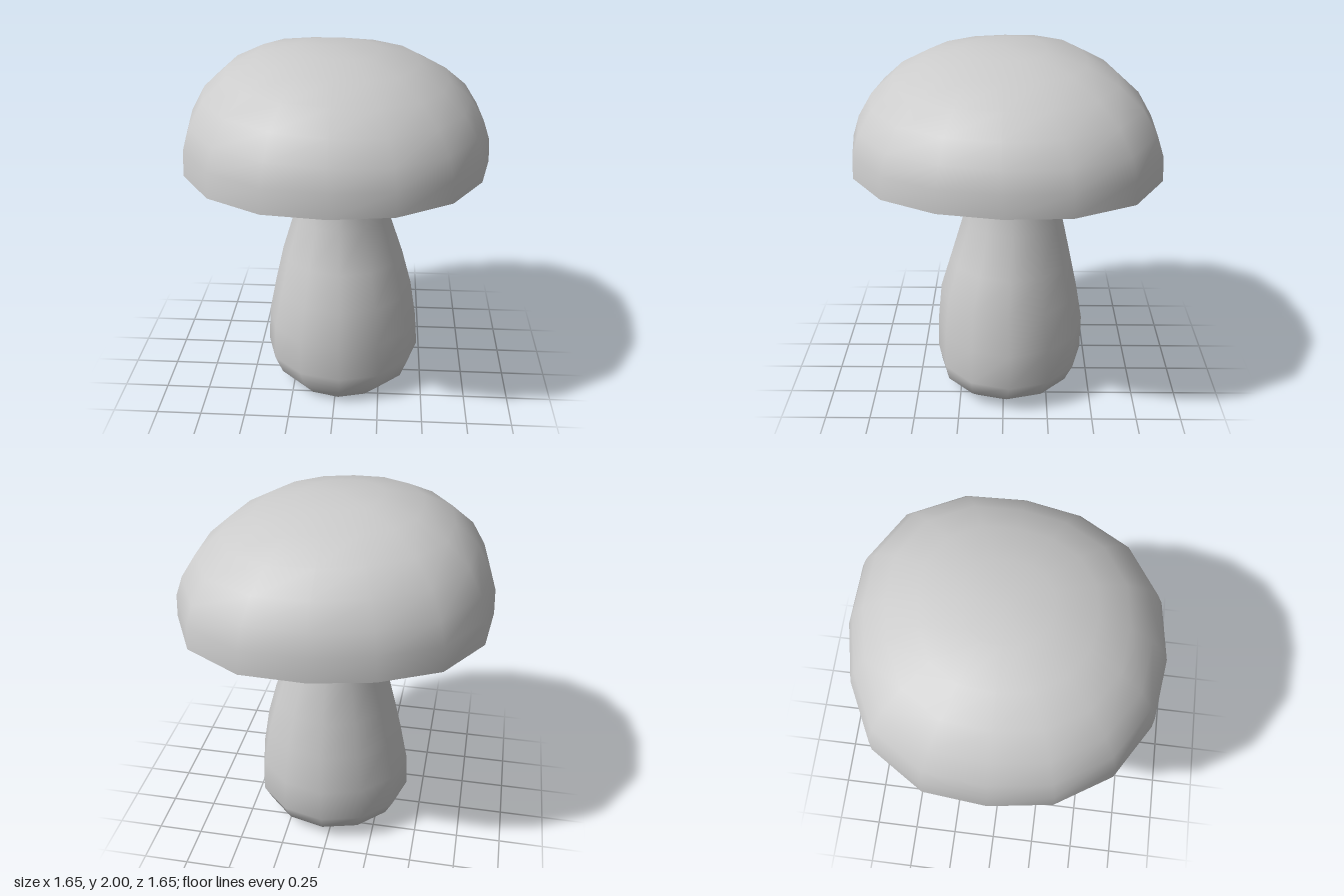
import * as THREE from 'three';

const material = new THREE.MeshStandardMaterial({ color: 0xcccccc, side: THREE.DoubleSide });

// Skins a stack of rings with smooth normals and closes it at an apex point; the bottom stays open.
function loft(name, rings, sides, pointAt, apex) {
  const positions = [];
  const index = [];
  rings.forEach((ring) => {
    for (let j = 0; j < sides; j++) positions.push(...pointAt(ring, j, (j / sides) * Math.PI * 2));
  });
  positions.push(...apex);
  const top = rings.length * sides;
  for (let i = 0; i < rings.length; i++) {
    for (let j = 0; j < sides; j++) {
      const k = (j + 1) % sides;
      const a = i * sides + j;
      const b = i * sides + k;
      if (i === rings.length - 1) index.push(a, top, b);
      else index.push(a, a + sides, b, b, a + sides, b + sides);
    }
  }
  const geometry = new THREE.BufferGeometry();
  geometry.setAttribute('position', new THREE.Float32BufferAttribute(positions, 3));
  geometry.setIndex(index);
  geometry.computeVertexNormals();
  const mesh = new THREE.Mesh(geometry, material);
  mesh.name = name;
  return mesh;
}

export function createModel() {
  const model = new THREE.Group();
  model.name = 'mushroom';

  // Cap: hollow dome with an uneven rim, its crown tilted slightly
  const rim = [0.82, 0.82, 0.84, 0.837, 0.82, 0.843, 0.856, 0.847,
    0.83, 0.864, 0.87, 0.826, 0.83, 0.886, 0.912, 0.873];
  // scale of rim, height, tilt
  const capRings = [
    [1, 1.38, 0], [0.993, 1.51, 0.012], [0.95, 1.62, 0.02], [0.86, 1.745, 0.035],
    [0.715, 1.85, 0.045], [0.52, 1.935, 0.05], [0.27, 1.983, 0.055],
  ];
  model.add(loft('cap', capRings, rim.length, ([s, y, tilt], j, a) => {
    const x = Math.cos(a) * rim[j] * s;
    const z = Math.sin(a) * rim[j] * s;
    return [x, Math.min(2, y - tilt * x - tilt * 0.25 * z), z];
  }, [0, 1.997, 0]));

  // Stem: bulging foot, narrow neck and rounded top hidden in the cap
  // height, centre x, radius x, centre z, radius z
  const stemRings = [
    [0, 0.02, 0.30, 0, 0.30], [0.08, 0.03, 0.40, -0.02, 0.39],
    [0.18, 0.028, 0.447, -0.033, 0.423], [0.38, 0.025, 0.435, -0.037, 0.422],
    [0.6, 0.03, 0.395, -0.03, 0.392], [0.8, 0.025, 0.345, -0.04, 0.34],
    [1.03, 0.02, 0.27, -0.05, 0.28], [1.25, 0.022, 0.235, -0.035, 0.245],
    [1.38, 0.02, 0.2, -0.01, 0.21], [1.44, 0.02, 0.11, -0.01, 0.11],
  ];
  model.add(loft('stem', stemRings, 12, ([y, cx, rx, cz, rz], j, a) =>
    [cx + Math.cos(a) * rx, y, cz + Math.sin(a) * rz], [0.02, 1.455, -0.01]));

  return model;
}
